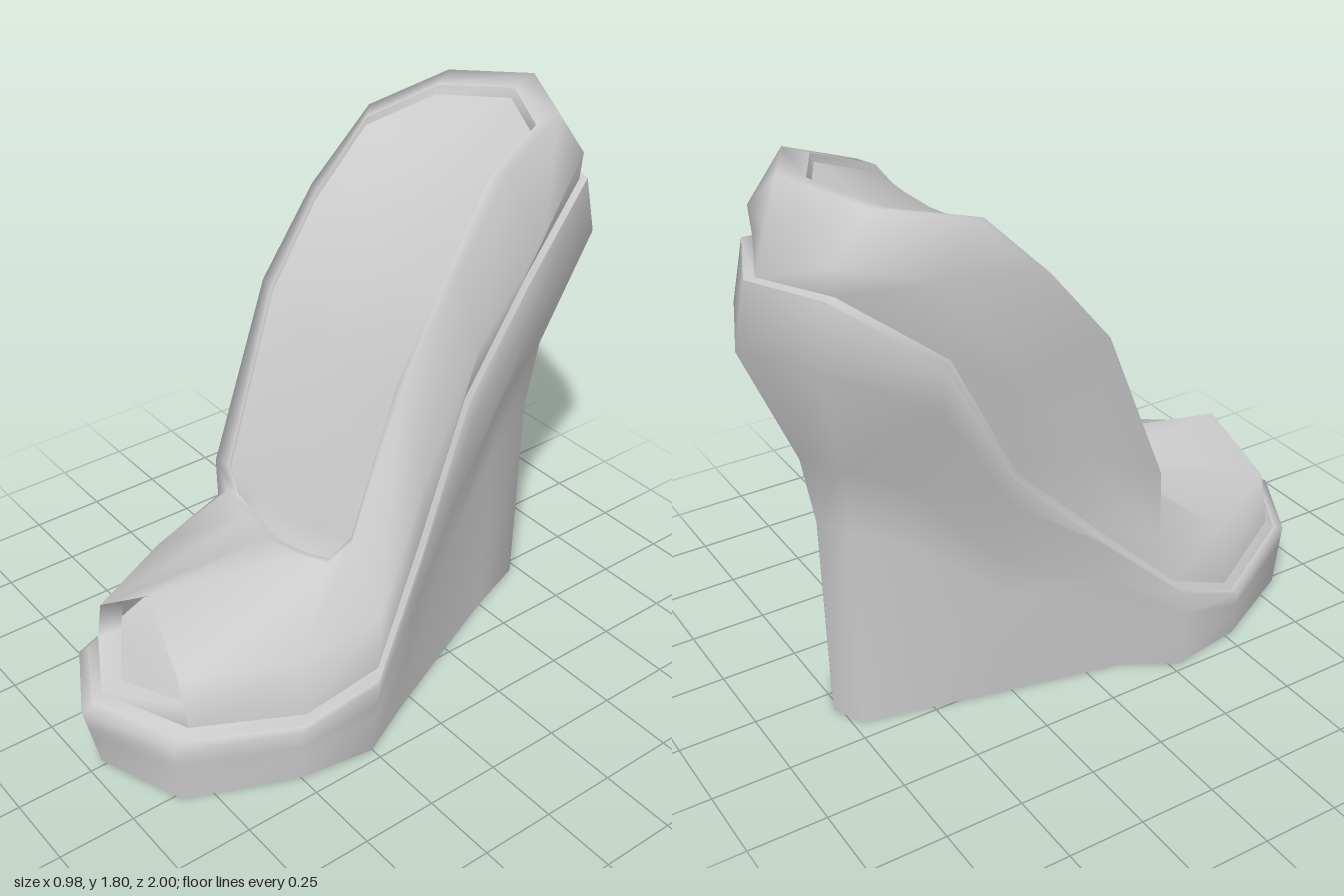
import * as THREE from 'three';

// Every ring has 16 points: toe tip, along +x to the heel (8), and back along -x.
const N = 16;
const ring = (...pts) => pts.map(p => new THREE.Vector3(...p));
const material = () => new THREE.MeshStandardMaterial({ color: 0xcccccc, side: THREE.DoubleSide });

function build(name, points, index) {
  const geo = new THREE.BufferGeometry().setFromPoints(points);
  geo.setIndex(index);
  geo.computeVertexNormals();
  const mesh = new THREE.Mesh(geo, material());
  mesh.name = name;
  return mesh;
}

// Skin over stacked closed rings; skip(row, column) leaves a hole
function loft(name, rings, skip = () => false) {
  const n = rings[0].length, index = [];
  for (let r = 0; r < rings.length - 1; r++) {
    for (let i = 0; i < n; i++) {
      if (skip(r, i)) continue;
      const j = (i + 1) % n, a = r * n + i, b = r * n + j, c = b + n, d = a + n;
      index.push(a, b, c, a, c, d);
    }
  }
  return build(name, rings.flat(), index);
}

// Surface spanning a ring from side to side, with its middle lowered by sink
function span(name, r, sink = 0, down = false) {
  const points = [], index = [];
  for (let i = 0; i <= 8; i++) {
    const right = r[i], left = r[(N - i) % N];
    for (let k = 0; k <= 4; k++) {
      const p = left.clone().lerp(right, k / 4);
      p.y -= sink * Math.sin(Math.PI * k / 4) * Math.sin(Math.PI * i / 8);
      points.push(p);
    }
  }
  for (let i = 0; i < 8; i++) {
    for (let k = 0; k < 4; k++) {
      const a = i * 5 + k, b = a + 1, c = b + 5, d = a + 5;
      if (down) index.push(a, c, b, a, d, c);
      else index.push(a, b, c, a, c, d);
    }
  }
  return build(name, points, index);
}

// 0 at the ball of the foot, 1 at the heel; the shoe's axis bends toward -x there
const heelness = p => THREE.MathUtils.clamp(-p.z / 0.95, 0, 1);
function inset(r, sx, sz, lift) {
  return r.map(p => {
    const axis = -0.12 * heelness(p);
    return new THREE.Vector3(axis + (p.x - axis) * sx, p.y + lift(heelness(p)), p.z * sz);
  });
}

export function createModel() {
  const shoe = new THREE.Group();
  shoe.name = 'wedgeShoe';

  // Ground outline
  const ground = ring(
    [-0.02, 0, 0.95], [0.27, 0, 0.84], [0.42, 0, 0.5], [0.46, 0, 0.25],
    [0.37, 0, 0.07], [0.25, 0, -0.2], [0.12, 0, -0.5], [0.04, 0, -0.72],
    [-0.08, 0, -0.77], [-0.18, 0, -0.72], [-0.22, 0, -0.55], [-0.28, 0, -0.3],
    [-0.37, 0, 0.11], [-0.47, 0, 0.28], [-0.43, 0, 0.53], [-0.27, 0, 0.84]);
  // Widest edge of the sole, climbing to the heel cup
  const edge = ring(
    [-0.02, 0.23, 1], [0.28, 0.22, 0.86], [0.43, 0.19, 0.5], [0.49, 0.29, 0.25],
    [0.39, 0.6, 0], [0.28, 0.93, -0.28], [0.25, 1.2, -0.55], [0.14, 1.35, -0.89],
    [-0.12, 1.33, -1], [-0.38, 1.35, -0.88], [-0.47, 1.18, -0.57], [-0.42, 0.78, -0.32],
    [-0.41, 0.53, 0], [-0.48, 0.28, 0.28], [-0.45, 0.17, 0.53], [-0.28, 0.22, 0.86]);
  // Straight walls at the toe, a slim column under the heel cup
  const wall = (height, heelSpread) => ground.map((p, i) => {
    const q = p.clone().lerp(edge[i], THREE.MathUtils.lerp(height, heelSpread, Math.min(1, heelness(p) * 2)));
    q.y = edge[i].y * height;
    return q;
  });
  const rim = inset(edge, 0.97, 0.96, t => 0.01 + 0.19 * t);
  const seat = inset(rim, 0.97, 0.965, t => 0.03 * (1 - t));

  // Middle of the upper; its first and neighbouring points form the toe arch
  const shoulder = ring(
    [0, 0.57, 0.75], [0.23, 0.42, 0.8], [0.38, 0.42, 0.46], [0.435, 0.5, 0.2],
    [0.34, 0.84, -0.04], [0.27, 1.18, -0.3], [0.25, 1.46, -0.56], [0.13, 1.63, -0.83],
    [-0.12, 1.66, -0.89], [-0.38, 1.63, -0.83], [-0.49, 1.57, -0.57], [-0.46, 1.2, -0.3],
    [-0.4, 0.85, -0.05], [-0.42, 0.48, 0.22], [-0.39, 0.41, 0.48], [-0.22, 0.42, 0.8]);
  const collar = ring(
    [-0.02, 0.57, 0.3], [0.12, 0.58, 0.28], [0.23, 0.6, 0.25], [0.265, 0.67, 0.18],
    [0.25, 1.14, -0.02], [0.22, 1.43, -0.25], [0.17, 1.68, -0.47], [0.12, 1.78, -0.72],
    [-0.13, 1.805, -0.85], [-0.39, 1.77, -0.72], [-0.45, 1.7, -0.44], [-0.45, 1.49, -0.21],
    [-0.42, 1.23, 0.01], [-0.36, 0.67, 0.26], [-0.3, 0.58, 0.26], [-0.16, 0.57, 0.28]);
  // Rolled inner border of the collar
  const lip = inset(collar, 0.89, 0.9, t => -0.01 - 0.02 * t);
  const lining = inset(lip, 0.99, 0.985, t => -0.015 - 0.02 * t);

  // Sole
  shoe.add(loft('wedgeSole', [ground, wall(0.52, 0.06), wall(0.7, 0.25), edge, rim]));
  shoe.add(loft('soleRim', [rim, seat]));
  shoe.add(span('outsole', ground, 0, true));
  shoe.add(span('footbed', seat));

  // Upper with the open toe left out
  shoe.add(loft('upper', [seat, shoulder, collar, lip], (r, i) => r === 0 && (i === 0 || i === N - 1)));
  shoe.add(loft('lining', [lip, lining]));
  shoe.add(span('insole', lining, 0.04));

  // Turned-in border of the toe opening
  const opening = [seat[15], seat[0], seat[1], shoulder[1], shoulder[0], shoulder[15]];
  const turned = opening.map(p => new THREE.Vector3(p.x * 0.9, 0.39 + (p.y - 0.39) * 0.88, p.z - 0.07));
  shoe.add(loft('toeOpeningBorder', [opening, turned]));

  return shoe;
}
